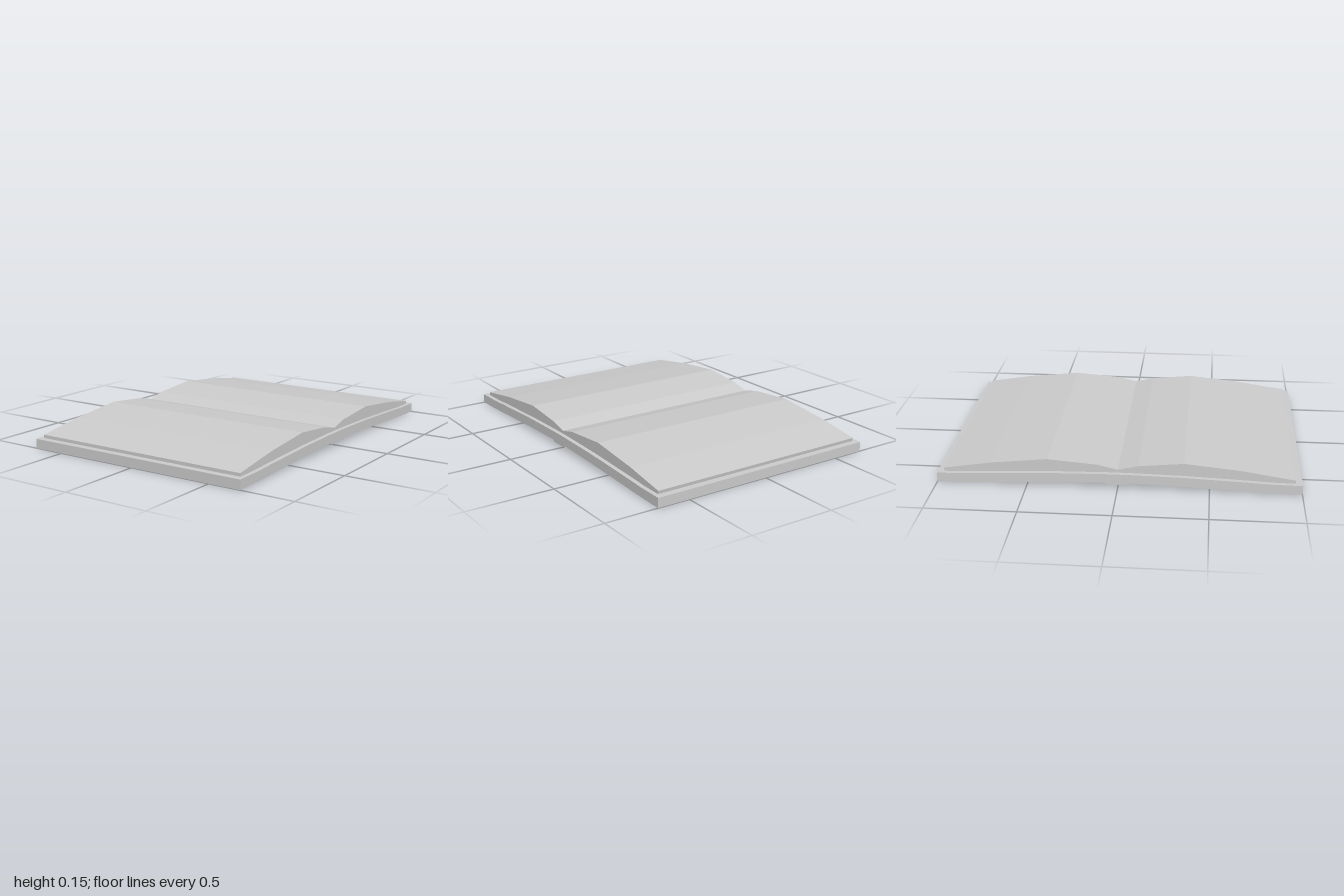
import * as THREE from 'three';

const material = new THREE.MeshStandardMaterial({ color: 0xcccccc, flatShading: true });

// Extrudes a [z, y] outline across x, centred on x = 0
function slab(name, outline, width) {
  const shape = new THREE.Shape(outline.map(([z, y]) => new THREE.Vector2(-z, y)));
  const geometry = new THREE.ExtrudeGeometry(shape, { depth: width, bevelEnabled: false });
  geometry.rotateY(Math.PI / 2).translate(-width / 2, 0, 0);
  const mesh = new THREE.Mesh(geometry, material);
  mesh.name = name;
  return mesh;
}

export function createModel() {
  const book = new THREE.Group();
  book.name = 'openBook';

  // Gently arched cover boards, [z, y] from the spine outwards
  const coverTop = [[0.065, 0.083], [0.35, 0.078], [0.7, 0.064], [0.84, 0.057], [1, 0.055]];
  const coverBottom = [[1, 0], [0.84, 0.003], [0.7, 0.009], [0.35, 0.024], [0.065, 0.031]];
  // Page blocks swell up on either side of the gutter
  const pageTop = {
    front: [[0, 0.1], [0.11, 0.126], [0.36, 0.15], [0.67, 0.119], [0.962, 0.074]],
    back: [[0, 0.1], [0.11, 0.126], [0.39, 0.149], [0.71, 0.115], [0.965, 0.074]],
  };
  const pageBottom = [[0.962, 0.055], [0.84, 0.056], [0.7, 0.063], [0.35, 0.077], [0, 0.082]];

  for (const [side, sign] of [['front', 1], ['back', -1]]) {
    const mirror = (points) => points.map(([z, y]) => [z * sign, y]);
    book.add(slab(side + 'Cover', mirror([...coverTop, ...coverBottom]), 1.38));
    book.add(slab(side + 'Pages', mirror([...pageTop[side], ...pageBottom]), 1.33));
  }

  // Spine strip, standing slightly proud below the covers
  book.add(slab('spine', [[-0.065, 0.02], [0.065, 0.02], [0.065, 0.083], [-0.065, 0.083]], 1.38));
  return book;
}
